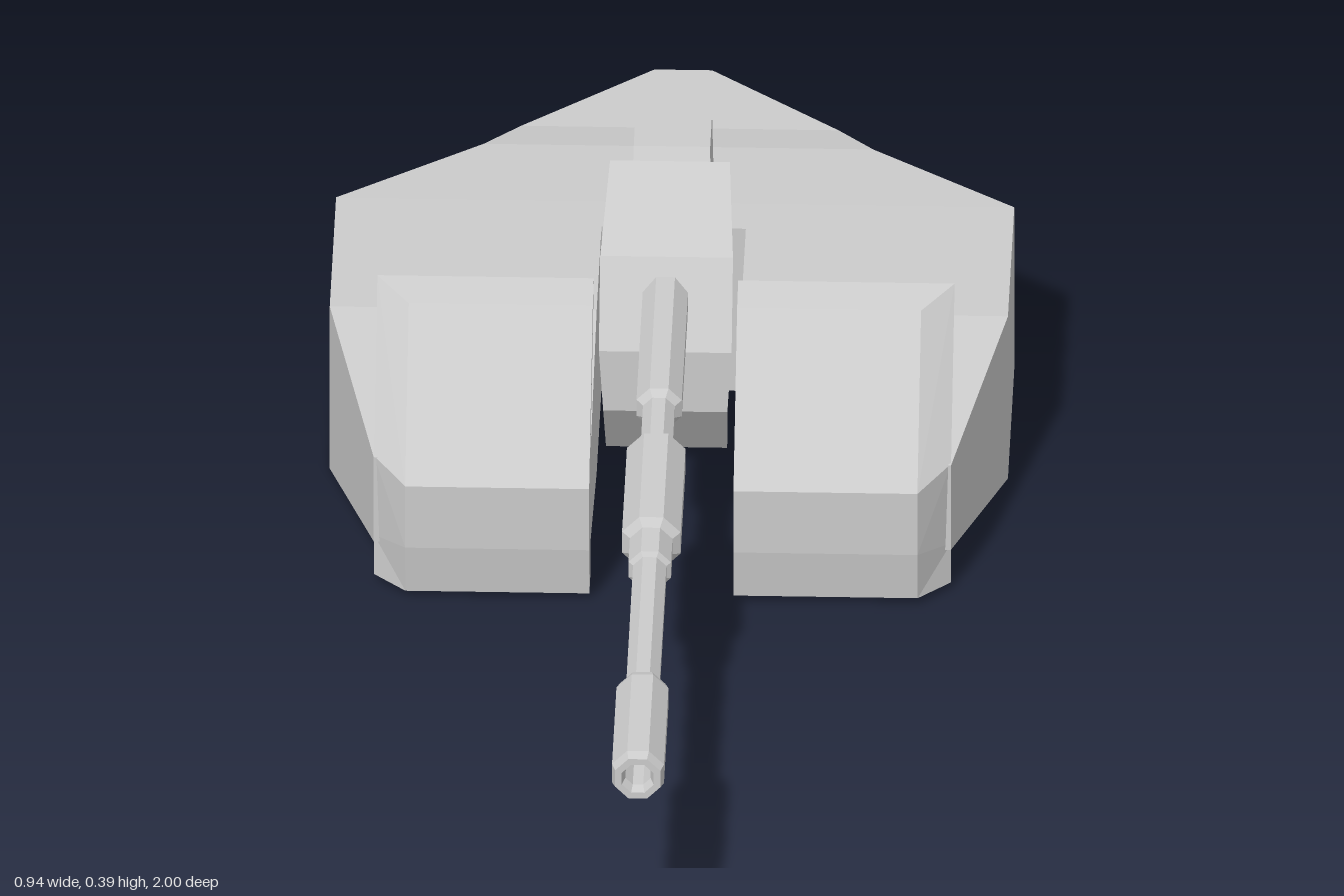
import * as THREE from 'three';

const material = new THREE.MeshStandardMaterial({ color: 0xcccccc, flatShading: true });

// Skin a list of matching rings, with fan caps; winding is fixed by the signed volume.
function loft(name, rings) {
  const n = rings[0].length, tris = [];
  for (let r = 0; r < rings.length - 1; r++) {
    for (let i = 0; i < n; i++) {
      const j = (i + 1) % n;
      const a = rings[r][i], b = rings[r][j], c = rings[r + 1][j], d = rings[r + 1][i];
      tris.push([a, b, c], [a, c, d]);
    }
  }
  const first = rings[0], last = rings[rings.length - 1];
  for (let i = 1; i < n - 1; i++) {
    tris.push([first[0], first[i + 1], first[i]], [last[0], last[i], last[i + 1]]);
  }
  let volume = 0;
  for (const [a, b, c] of tris) {
    volume += new THREE.Vector3(...a).dot(new THREE.Vector3(...b).cross(new THREE.Vector3(...c)));
  }
  if (volume < 0) tris.forEach((t) => t.reverse());
  const geometry = new THREE.BufferGeometry();
  geometry.setAttribute('position', new THREE.Float32BufferAttribute(tris.flat(2), 3));
  geometry.computeVertexNormals();
  const mesh = new THREE.Mesh(geometry, material);
  mesh.name = name;
  return mesh;
}

const mirrorRings = (rings, side) => rings.map((ring) => ring.map(([x, y, z]) => [x * side, y, z]));

// Full-width hull section: bottom and top half-widths and heights at z.
const section = (z, wBottom, wTop, y0, y1) =>
  [[-wBottom, y0, z], [wBottom, y0, z], [wTop, y1, z], [-wTop, y1, z]];

// Convex side profile of [z, y, halfWidth] points, closed on both sides.
function sideBlock(name, centreX, profile) {
  return loft(name, [-1, 1].map((s) => profile.map(([z, y, w]) => [centreX + s * w, y, z])));
}

export function createModel() {
  const model = new THREE.Group();
  model.name = 'gunTurret';

  // Hull behind the gun slot
  model.add(loft('hullMiddle', [
    section(-0.54, 0.47, 0.47, 0, 0.26),
    section(-0.61, 0.47, 0.47, 0, 0.26),
  ]));
  model.add(loft('rearBustle', [
    section(-0.61, 0.47, 0.47, 0.09, 0.26),
    section(-0.77, 0.27, 0.27, 0.09, 0.256),
    section(-0.84, 0.22, 0.22, 0.09, 0.245),
    section(-1, 0.04, 0.04, 0.09, 0.245),
  ]));
  model.add(loft('rearUnderside', [
    section(-0.61, 0.47, 0.47, 0, 0.09),
    section(-0.77, 0.234, 0.27, 0, 0.09),
    section(-0.84, 0.13, 0.215, 0, 0.09),
    section(-0.95, 0.13, 0.13, 0.089, 0.09),
  ]));

  // Tapering cheeks either side of the slot, each with a bent front shield
  const cheek = [[0, 0.4, 0.065, 0.2], [-0.31, 0.47, 0, 0.26], [-0.54, 0.47, 0, 0.26]]
    .map(([z, w, y0, y1]) => [[0.1, y0, z], [w, y0, z], [w, y1, z], [0.1, y1, z]]);
  // front z, front y, back z, back y
  const shield = [
    [0.04, 0.01, -0.005, 0.01],
    [0.05, 0.085, -0.01, 0.07],
    [0.05, 0.183, -0.005, 0.2],
    [-0.125, 0.375, -0.175, 0.39],
  ].map(([fz, fy, bz, by]) => [[0.1, fy, fz], [0.355, fy, fz], [0.4, by, bz], [0.1, by, bz]]);
  for (const [side, label] of [[1, 'left'], [-1, 'right']]) {
    model.add(loft(label + 'Cheek', mirrorRings(cheek, side)));
    model.add(loft(label + 'FrontShield', mirrorRings(shield, side)));
  }

  // Gun mantlet in the slot
  model.add(sideBlock('mantlet', -0.004, [
    [-0.5, 0.39, 0.083], [-0.34, 0.33, 0.092], [-0.275, 0.215, 0.092],
    [-0.275, 0.12, 0.086], [-0.34, 0.025, 0.084], [-0.52, 0.025, 0.08], [-0.52, 0.22, 0.08],
  ]));

  // Sight housing on the roof
  model.add(sideBlock('roofSight', -0.005, [
    [-0.575, 0.25, 0.055], [-0.63, 0.338, 0.053], [-0.72, 0.338, 0.053], [-0.72, 0.25, 0.055],
  ]));

  // Stepped octagonal barrel with a hollow muzzle: [radius, z]
  const steps = [
    [0, -0.36], [0.034, -0.36], [0.034, -0.02], [0.024, -0.01], [0.024, 0.12],
    [0.044, 0.12], [0.044, 0.35], [0.032, 0.36], [0.032, 0.425], [0.025, 0.43],
    [0.025, 0.755], [0.034, 0.76], [0.039, 0.775], [0.039, 0.985], [0.034, 1],
    [0.024, 1], [0.019, 0.985], [0.019, 0.93], [0, 0.93],
  ].map(([r, z]) => new THREE.Vector2(r, z));
  const barrel = new THREE.Mesh(
    new THREE.LatheGeometry(steps, 8, Math.PI / 8).rotateX(Math.PI / 2), material);
  barrel.name = 'gunBarrel';
  barrel.position.set(-0.005, 0.274, 0);
  model.add(barrel);

  return model;
}
